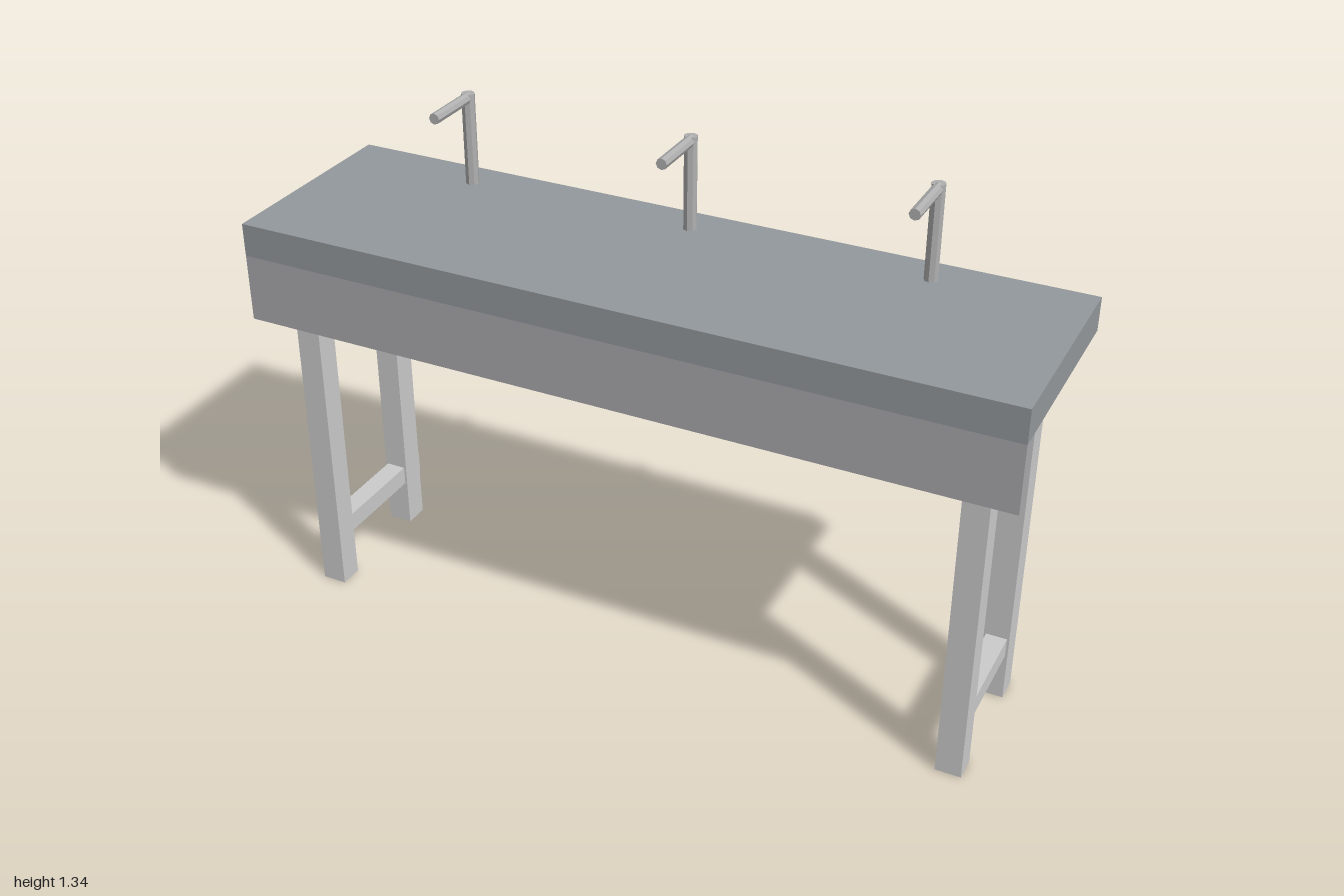
import * as THREE from 'three';

const mat = (color) => new THREE.MeshStandardMaterial({ color, flatShading: true });

export function createModel() {
  const model = new THREE.Group();
  const grey = mat(0xcccccc);
  const topMat = mat(0x94999d);
  const apronMat = mat(0xaaaaae);
  const tapMat = mat(0xb0b0b0);

  const add = (name, geometry, material, x, y, z) => {
    const mesh = new THREE.Mesh(geometry, material);
    mesh.name = name;
    mesh.position.set(x, y, z);
    model.add(mesh);
    return mesh;
  };
  // box given by its extents in y and z, centred on x
  const box = (name, material, x, width, y0, y1, z0, z1) =>
    add(name, new THREE.BoxGeometry(width, y1 - y0, z1 - z0), material, x, (y0 + y1) / 2, (z0 + z1) / 2);

  // Counter slab and the apron hanging at its front edge
  box('countertop', topMat, 0, 2, 1.002, 1.089, -0.278, 0.278);
  box('frontApron', apronMat, 0, 2, 0.825, 1.002, 0.236, 0.278);

  // Two leg frames, each with a stretcher running through the back leg
  for (const [side, x] of [['left', 0.888], ['right', -0.888]]) {
    box(side + 'FrontLeg', grey, x, 0.066, 0, 1.002, 0.146, 0.21);
    box(side + 'BackLeg', grey, x, 0.066, 0, 1.002, -0.189, -0.122);
    box(side + 'Stretcher', grey, x, 0.054, 0.131, 0.183, -0.2, 0.18);
  }

  // Three basins under the counter, each with its tap
  const basin = new THREE.CylinderGeometry(0.155, 0.155, 0.14, 12);
  const post = new THREE.CylinderGeometry(0.0175, 0.0175, 0.25, 8);
  const spout = new THREE.CylinderGeometry(0.0145, 0.0145, 0.16, 8).rotateX(Math.PI / 2);
  for (const x of [-0.62, 0, 0.62]) {
    add('basin', basin, grey, x, 0.938, 0.021);
    add('tapPost', post, tapMat, x, 1.208, -0.189);
    add('tapSpout', spout, tapMat, x, 1.321, -0.109);
  }

  return model;
}
